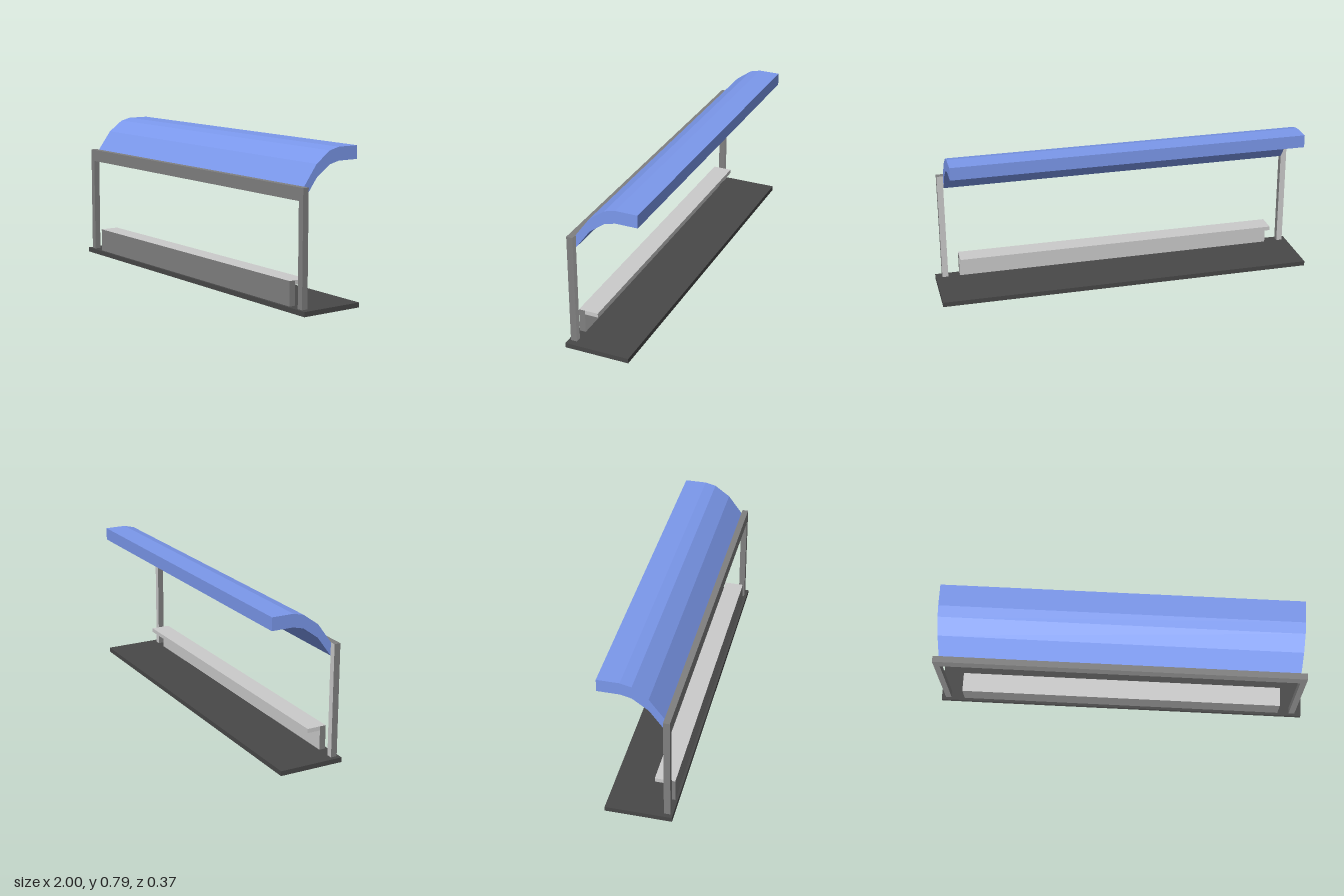
import * as THREE from 'three';

const paint = (color) => new THREE.MeshStandardMaterial({ color, flatShading: true });
const dark = paint(0x484848);
const steel = paint(0x808080);
const light = paint(0xcccccc);
const blue = paint(0x7b98ec);
// Steel members with a pale rear face (box face order: +x -x +y -y +z -z)
const steelPaleBack = [steel, steel, steel, steel, steel, light];

// Box given by its extents along each axis
function block(name, [x0, x1], [y0, y1], [z0, z1], material) {
  const mesh = new THREE.Mesh(new THREE.BoxGeometry(x1 - x0, y1 - y0, z1 - z0), material);
  mesh.position.set((x0 + x1) / 2, (y0 + y1) / 2, (z0 + z1) / 2);
  mesh.name = name;
  return mesh;
}

// Canopy: a faceted curve of constant vertical depth, extruded along x
function canopy(x0, x1, depth) {
  const top = [[0.141, 0.61], [0.066, 0.712], [-0.015, 0.771], [-0.072, 0.785], [-0.187, 0.785]];
  const bottom = top.map(([z, y]) => [z, y - depth]).reverse();
  const shape = new THREE.Shape([...top, ...bottom].map(([z, y]) => new THREE.Vector2(-z, y)));
  const geometry = new THREE.ExtrudeGeometry(shape, { depth: x1 - x0, bevelEnabled: false });
  geometry.rotateY(Math.PI / 2); // shape x becomes -z, depth becomes +x
  geometry.translate(x0, 0, 0);
  const mesh = new THREE.Mesh(geometry, blue);
  mesh.name = 'canopy';
  return mesh;
}

export function createModel() {
  const model = new THREE.Group();
  model.name = 'shelter';
  const frameZ = [0.141, 0.174];

  model.add(block('basePlate', [-1, 1], [0, 0.025], [-0.156, 0.187], dark));

  // Front frame: two posts joined by a beam
  model.add(block('rightPost', [-0.977, -0.945], [0.025, 0.545], frameZ, steelPaleBack));
  model.add(block('leftPost', [0.934, 0.966], [0.025, 0.545], frameZ, steelPaleBack));
  model.add(block('beam', [-0.977, 0.966], [0.545, 0.61], frameZ, steelPaleBack));

  // Bench: low panel with a narrow seat behind it
  model.add(block('benchPanel', [-0.872, 0.872], [0.025, 0.15], frameZ, [steel, steel, light, steel, steel, light]));
  model.add(block('benchSeat', [-0.872, 0.872], [0.128, 0.15], [0.07, 0.141], light));

  model.add(canopy(-0.945, 0.932, 0.067));
  return model;
}
